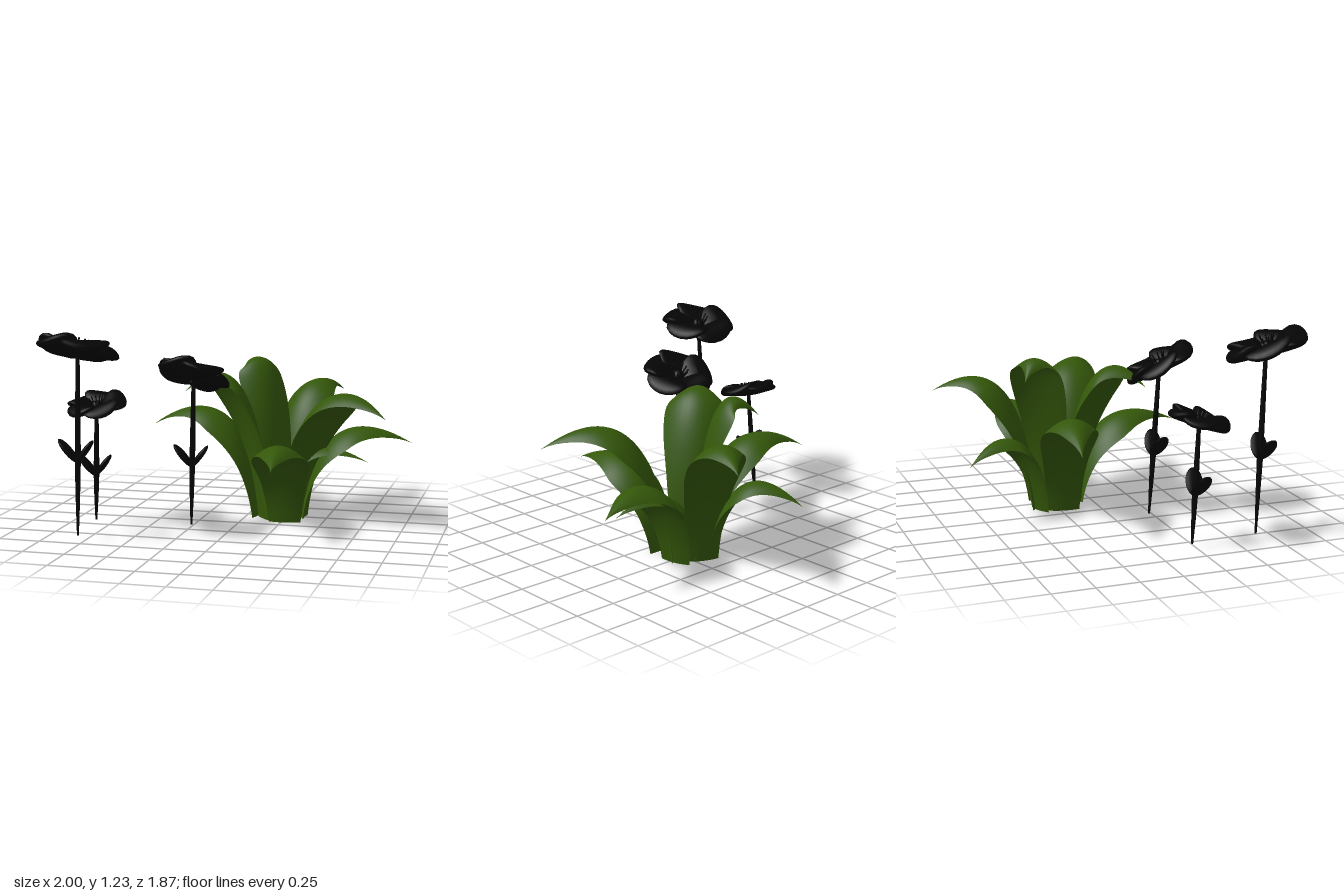
import * as THREE from 'three';

const V = (x, y, z) => new THREE.Vector3(x, y, z);
const UP = V(0, 1, 0);

// Half-width of a broad leaf from base to tip, as a share of its widest point
const WIDTH = new THREE.SplineCurve([
  [0, 0.58], [0.2, 0.77], [0.4, 0.97], [0.55, 0.98], [0.7, 0.77], [0.85, 0.41], [1, 0],
].map(([t, w]) => new THREE.Vector2(t, w)));

// Arching leaf: two skins swept along a curve, edges drooping, meeting at the rim
function leafGeometry(base, tip, peak, halfWidth) {
  const dir = V(tip.x - base.x, 0, tip.z - base.z);
  const at = (f, y) => V(base.x + dir.x * f, y, base.z + dir.z * f);
  const spine = new THREE.CubicBezierCurve3(base, at(0.1, peak), at(0.5, peak * 1.16), tip);
  const side = dir.clone().normalize().cross(UP);
  const rows = 28, cols = 12, pos = [], index = [];
  for (const skin of [0, 1]) {
    const start = pos.length / 3;
    for (let i = 0; i <= rows; i++) {
      const t = i / rows;
      const w = i === rows ? 0 : halfWidth * WIDTH.getPoint(t).y;
      const c = spine.getPoint(t);
      const n = side.clone().cross(spine.getTangent(t));
      const droop = 0.1 + 0.42 * THREE.MathUtils.smoothstep(t, 0, 0.5);
      for (let j = 0; j <= cols; j++) {
        const s = (j / cols) * 2 - 1;
        const depth = droop * w * s * s + skin * 0.25 * w * (1 - s * s);
        const p = c.clone().addScaledVector(side, w * s).addScaledVector(n, -depth);
        pos.push(p.x, p.y, p.z);
      }
    }
    for (let i = 0; i < rows; i++) {
      for (let j = 0; j < cols; j++) {
        const a = start + i * (cols + 1) + j, b = a + 1, d = a + cols + 1, e = d + 1;
        if (skin) index.push(a, d, b, b, d, e);
        else index.push(a, b, d, b, e, d);
      }
    }
  }
  const g = new THREE.BufferGeometry();
  g.setAttribute('position', new THREE.Float32BufferAttribute(pos, 3));
  g.setIndex(index);
  g.computeVertexNormals();
  return g;
}

// Plump, cupped, rounded petal lying along +x from the origin
function petalGeometry(R) {
  const g = new THREE.SphereGeometry(1, 20, 12);
  const p = g.attributes.position;
  for (let i = 0; i < p.count; i++) {
    const x = p.getX(i), y = p.getY(i), z = p.getZ(i);
    const bowl = 0.12 * z * z - 0.1 * x * x;
    p.setXYZ(i, R * (0.54 + 0.47 * x), R * (0.17 * y + bowl + 0.06 * x), R * 0.6 * z * (1 + 0.15 * x));
  }
  g.computeVertexNormals();
  return g;
}

function flower({ foot, head, radius, normal, leafY }, mat) {
  const group = new THREE.Group();
  group.name = 'flower';
  const add = (parent, geo, name) => {
    const m = new THREE.Mesh(geo, mat);
    m.name = name;
    parent.add(m);
    return m;
  };

  // Stem, thicker at mid height
  const axis = head.clone().sub(foot), length = axis.length();
  const profile = [[0, 0], [0.006, 0], [0.013, 0.2], [0.018, 0.42], [0.015, 0.7], [0.011, 1]]
    .map(([r, h]) => new THREE.Vector2(r, h * length));
  const stem = add(group, new THREE.LatheGeometry(profile, 12), 'stem');
  stem.position.copy(foot);
  stem.quaternion.setFromUnitVectors(UP, axis.normalize());

  // Pair of small leaves on the stem, leaning a little forward
  const joint = foot.clone().lerp(head, (leafY - foot.y) / (head.y - foot.y));
  for (const s of [-1, 1]) {
    const geo = new THREE.SphereGeometry(1, 14, 10);
    geo.scale(0.016, 0.088, 0.052).translate(0, 0.085, 0).rotateX(0.2);
    const leaf = add(group, geo, 'stemLeaf');
    leaf.position.copy(joint);
    leaf.rotation.z = -s * 0.66;
  }

  // Tilted bloom with five overlapping petals
  const bloom = new THREE.Group();
  bloom.name = 'bloom';
  bloom.position.copy(head);
  bloom.quaternion.setFromUnitVectors(UP, normal.clone().normalize());
  group.add(bloom);
  const petalGeo = petalGeometry(radius);
  for (let i = 0; i < 5; i++) {
    const pivot = new THREE.Group();
    pivot.rotation.y = (i / 5) * Math.PI * 2 + 0.3;
    bloom.add(pivot);
    add(pivot, petalGeo, 'petal').rotation.x = 0.17;
  }
  const cup = new THREE.SphereGeometry(radius * 0.18, 14, 10);
  cup.scale(1, 0.8, 1);
  add(bloom, cup, 'flowerCentre');

  // Ring of stamens
  const stamenGeo = new THREE.CapsuleGeometry(radius * 0.022, radius * 0.2, 3, 6);
  for (let i = 0; i < 10; i++) {
    const a = (i / 10) * Math.PI * 2;
    const m = add(bloom, stamenGeo, 'stamen');
    m.position.set(Math.cos(a) * radius * 0.2, radius * 0.15, Math.sin(a) * radius * 0.2);
    m.rotation.set(Math.sin(a) * 0.4, 0, -Math.cos(a) * 0.4);
  }
  return group;
}

export function createModel() {
  const model = new THREE.Group();
  model.name = 'plantAndFlowers';
  const green = new THREE.MeshStandardMaterial({ color: 0x34570a, side: THREE.DoubleSide });
  green.name = 'leaf green';
  const black = new THREE.MeshStandardMaterial({ color: 0x050506 });
  black.name = 'flower black';

  // Broad-leaved rosette: base x, z; tip x, y, z; arch height; half-width
  const plant = new THREE.Group();
  plant.name = 'leafyPlant';
  model.add(plant);
  [
    [0.08, -0.23, -0.65, 0.53, -0.36, 0.69, 0.17],
    [0.12, -0.36, -0.12, 0.38, -0.87, 0.53, 0.13],
    [0.2, -0.36, 0.48, 0.72, -0.94, 0.81, 0.17],
    [0.33, -0.28, 1.0, 0.46, -0.44, 0.58, 0.17],
    [0.3, -0.21, 0.93, 0.7, 0.22, 0.83, 0.19],
    [0.27, -0.09, 0.34, 0.44, 0.61, 0.55, 0.17],
    [0.13, -0.17, -0.29, 0.82, 0.16, 0.92, 0.19],
    [0.2, -0.28, -0.1, 0.86, -0.52, 0.97, 0.17],
    [0.18, -0.29, 0.76, 0.36, -0.24, 0.45, 0.1],
  ].forEach(([bx, bz, tx, ty, tz, peak, w]) => {
    const leaf = new THREE.Mesh(leafGeometry(V(bx, 0, bz), V(tx, ty, tz), peak, w), green);
    leaf.name = 'leaf';
    plant.add(leaf);
  });

  // Three flowers
  [
    { foot: V(-0.24, 0.02, 0.21), head: V(-0.2, 0.935, 0.285), radius: 0.22, normal: V(0.15, 1, -0.5), leafY: 0.38 },
    { foot: V(-0.84, 0.02, 0.23), head: V(-0.81, 0.735, 0.275), radius: 0.18, normal: V(-0.06, 1, 0.28), leafY: 0.3 },
    { foot: V(-0.8, 0.02, 0.65), head: V(-0.76, 1.115, 0.705), radius: 0.238, normal: V(0.1, 1, -0.28), leafY: 0.46 },
  ].forEach((f) => model.add(flower(f, black)));

  return model;
}
